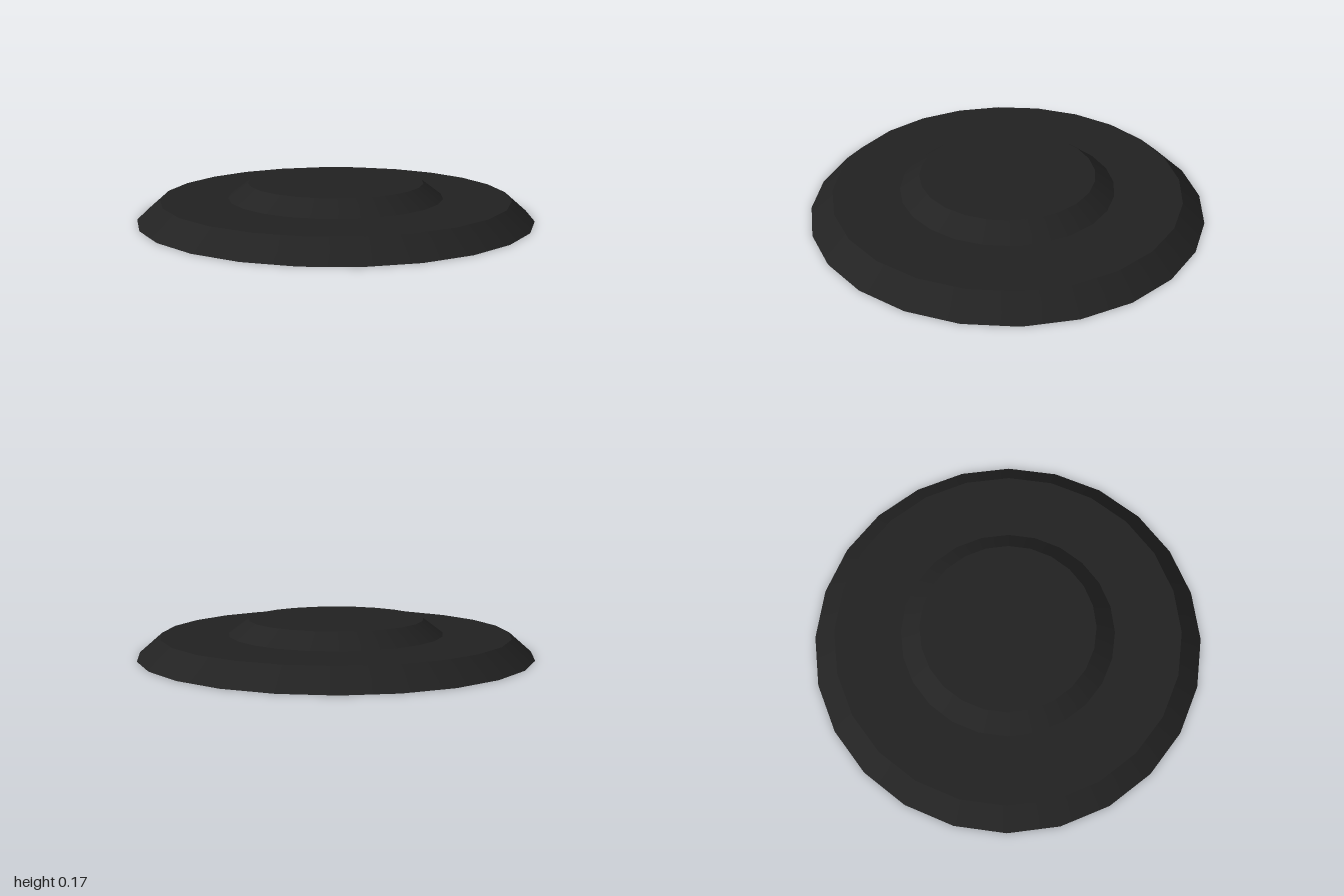
import * as THREE from 'three';

const SIDES = 24;

export function createModel() {
  const group = new THREE.Group();
  group.name = 'steppedDisc';

  const black = new THREE.MeshStandardMaterial({ color: 0x222222, side: THREE.DoubleSide });
  black.name = 'matteBlack';

  // One ring of the thin hollow shell; separate rings keep the edges crisp
  const addRing = (name, r0, y0, r1, y1) => {
    const profile = [new THREE.Vector2(r0, y0), new THREE.Vector2(r1, y1)];
    const mesh = new THREE.Mesh(new THREE.LatheGeometry(profile, SIDES), black);
    mesh.name = name;
    group.add(mesh);
  };

  addRing('outerSlope', 1, 0, 0.885, 0.1);
  addRing('flatRim', 0.885, 0.1, 0.545, 0.1);
  addRing('innerSlope', 0.545, 0.1, 0.445, 0.175);

  // Flat cap closing the raised centre
  const cap = new THREE.Mesh(new THREE.CircleGeometry(0.445, SIDES), black);
  cap.name = 'centreCap';
  cap.rotation.x = -Math.PI / 2;
  cap.position.y = 0.175;
  group.add(cap);

  return group;
}
